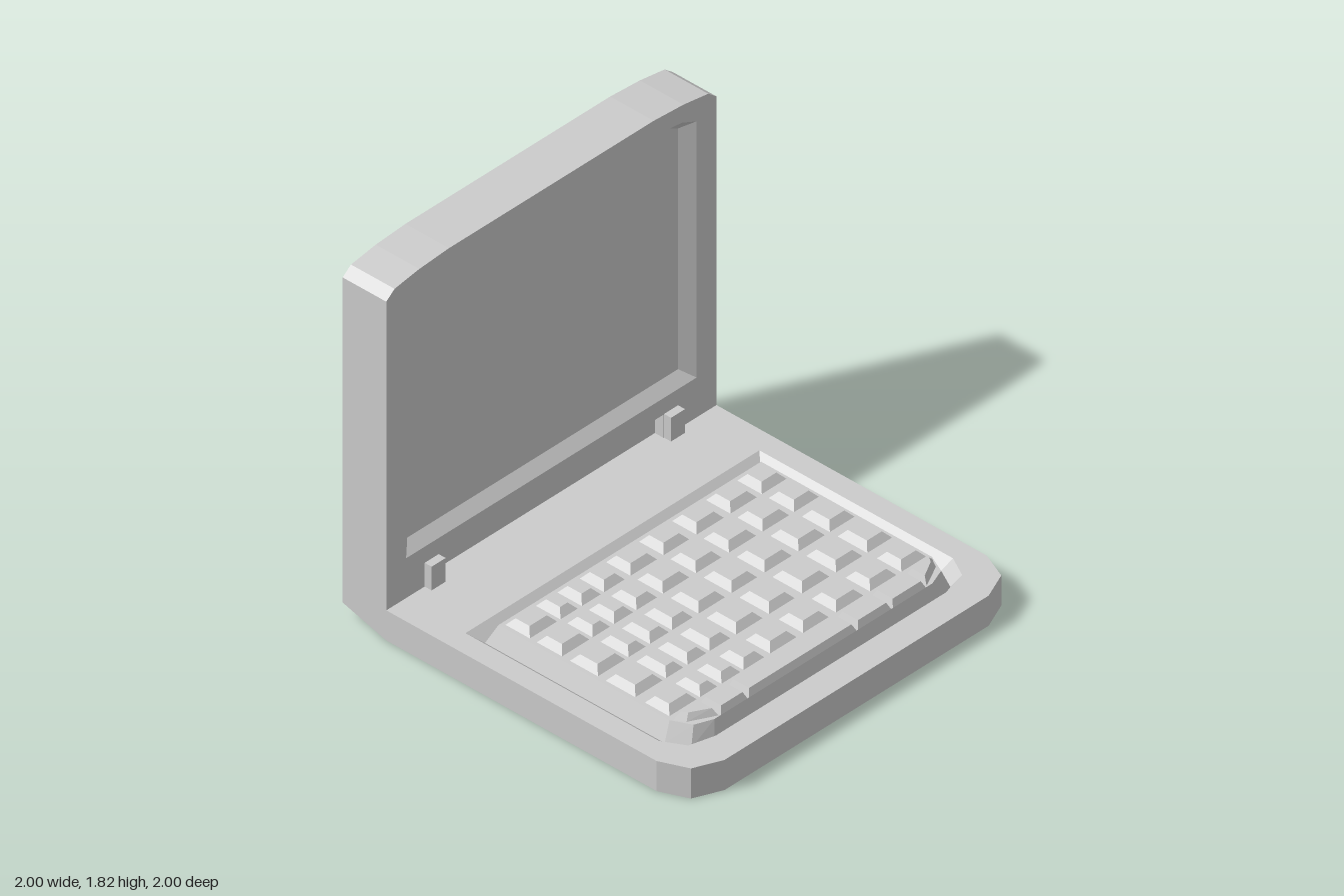
import * as THREE from 'three';

const material = new THREE.MeshStandardMaterial({ color: 0xcccccc, flatShading: true });

// Outlines are [x, z] points. The half with z > 0 runs from back to front.
const mirrored = half => [...half, ...half.map(([x, z]) => [x, -z]).reverse()];
const rect = (x0, x1, z0, z1) => [[x0, z1], [x1, z1], [x1, z0], [x0, z0]];

function add(parent, name, geometry) {
  const mesh = new THREE.Mesh(geometry, material);
  mesh.name = name;
  parent.add(mesh);
  return mesh;
}

// Flat plate between two heights, with optional holes
function plate(outline, y0, y1, holes = []) {
  const points = ring => ring.map(([x, z]) => new THREE.Vector2(x, -z));
  const shape = new THREE.Shape(points(outline));
  holes.forEach(h => shape.holes.push(new THREE.Path(points(h))));
  return new THREE.ExtrudeGeometry(shape, { depth: y1 - y0, bevelEnabled: false })
    .rotateX(-Math.PI / 2).translate(0, y0, 0);
}

// Sloped band from an outer ring to an inner ring, closed by a flat cap
function slopedPanel(outer, y0, inner, y1) {
  const pos = [];
  const put = (ring, i, y) => pos.push(ring[i][0], y, ring[i][1]);
  const n = outer.length;
  for (let i = 0; i < n; i++) {
    const j = (i + 1) % n;
    put(outer, i, y0); put(outer, j, y0); put(inner, j, y1);
    put(outer, i, y0); put(inner, j, y1); put(inner, i, y1);
    if (i > 0 && i < n - 1) {
      put(inner, 0, y1); put(inner, i, y1); put(inner, i + 1, y1);
    }
  }
  const g = new THREE.BufferGeometry();
  g.setAttribute('position', new THREE.Float32BufferAttribute(pos, 3));
  g.computeVertexNormals();
  return g;
}

// Prism with an [x, y] profile, centred along z
function prism(profile, width) {
  const shape = new THREE.Shape(profile.map(p => new THREE.Vector2(...p)));
  return new THREE.ExtrudeGeometry(shape, { depth: width, bevelEnabled: false })
    .translate(0, 0, -width / 2);
}

function createBase() {
  const base = new THREE.Group();
  base.name = 'base';
  const top = 0.155, floor = 0.105;
  const outline = mirrored([[-0.75, 1], [0.8, 1], [0.94, 0.94], [1, 0.8]]);
  const moatOuter = mirrored([[-0.4, 0.89], [0.71, 0.89], [0.82, 0.83], [0.855, 0.7]]);
  const moatInner = mirrored([[-0.34, 0.835], [0.69, 0.835], [0.795, 0.785], [0.83, 0.68]]);
  const deck = mirrored([[-0.3, 0.795], [0.68, 0.795], [0.775, 0.75], [0.81, 0.66]]);
  add(base, 'baseBottom', plate(outline, 0, floor));
  add(base, 'baseRim', plate(outline, floor, top, [moatOuter]));
  add(base, 'keyboardMoat', slopedPanel(moatOuter, top, moatInner, floor));
  add(base, 'keyboardDeck', slopedPanel(moatInner, floor, deck, 0.197));
  // Slanted underside below the lid
  add(base, 'rearHeel', prism([[-1, 0.07], [-0.75, 0], [-0.75, top], [-1, top]], 2));
  return base;
}

function createKeys() {
  const keys = new THREE.Group();
  keys.name = 'keys';
  const low = 0.197, high = 0.23;
  const key = (name, x0, x1, z0, z1, inset) => add(keys, name, slopedPanel(
    rect(x0, x1, z0, z1), low, rect(x0 + inset, x1 - inset, z0 + inset, z1 - inset), high));

  // Main grid of square keys
  const columns = [[-0.28, -0.14], [-0.1, 0.045], [0.09, 0.25], [0.295, 0.465], [0.52, 0.66]];
  const rows = [[-0.78, -0.63], [-0.6, -0.44], [-0.4, -0.235], [-0.19, -0.035], [0.005, 0.165],
    [0.2, 0.325], [0.345, 0.46], [0.485, 0.59], [0.61, 0.775]];
  for (const [x0, x1] of columns)
    for (const [z0, z1] of rows) key('key', x0, x1, z0, z1, 0.03);

  // Front row with the long bar
  key('frontKey', 0.69, 0.81, -0.62, -0.42, 0.015);
  key('frontKey', 0.69, 0.81, -0.41, -0.21, 0.015);
  key('spaceBar', 0.69, 0.81, -0.2, 0.45, 0.015);
  key('frontKey', 0.69, 0.81, 0.46, 0.62, 0.015);

  // Corner keys follow the rounded front corners
  const outer = [[0.69, 0.785], [0.74, 0.755], [0.805, 0.63], [0.69, 0.63]];
  const inner = [[0.705, 0.75], [0.73, 0.735], [0.78, 0.645], [0.705, 0.645]];
  const flip = ring => ring.map(([x, z]) => [x, -z]).reverse();
  add(keys, 'cornerKey', slopedPanel(outer, low, inner, high));
  add(keys, 'cornerKey', slopedPanel(flip(outer), low, flip(inner), high));
  return keys;
}

// The lid is laid out flat (x is its height, y its front), then stood up
function createLid() {
  const lid = new THREE.Group();
  lid.name = 'lid';
  const back = -1, mid = -0.8, front = -0.75;
  const outline = mirrored([[0.155, 1], [1.745, 1], [1.785, 0.95], [1.808, 0.8], [1.82, 0.62]]);
  const hingeSlot = [[0.155, -0.68], [0.275, -0.68], [0.275, 0.68], [0.155, 0.68]];
  const screenOuter = mirrored([[0.36, 0.88], [1.68, 0.88], [1.72, 0.79], [1.74, 0.62]]);
  const screenInner = mirrored([[0.41, 0.82], [1.65, 0.82], [1.685, 0.75], [1.7, 0.6]]);
  add(lid, 'lidBack', plate(outline, back, mid));
  add(lid, 'lidFrame', plate([...outline, ...hingeSlot], mid, front, [screenOuter]));
  add(lid, 'screen', slopedPanel(screenOuter, front, screenInner, mid));
  lid.applyMatrix4(new THREE.Matrix4().makeBasis(
    new THREE.Vector3(0, 1, 0), new THREE.Vector3(1, 0, 0), new THREE.Vector3(0, 0, -1)));
  return lid;
}

function createHinge() {
  const hinge = new THREE.Group();
  hinge.name = 'hinge';
  // Slanted ceiling of the slot between the hinge blocks
  add(hinge, 'slotCeiling', prism([[-0.8, 0.235], [-0.75, 0.275], [-0.8, 0.275]], 1.36));
  for (const side of [-1, 1]) {
    add(hinge, side > 0 ? 'leftHingeBlock' : 'rightHingeBlock',
      new THREE.BoxGeometry(0.09, 0.125, 0.085)).position.set(-0.755, 0.2145, side * 0.725);
  }
  return hinge;
}

export function createModel() {
  const model = new THREE.Group();
  model.name = 'laptop';
  model.add(createBase(), createKeys(), createLid(), createHinge());
  return model;
}
